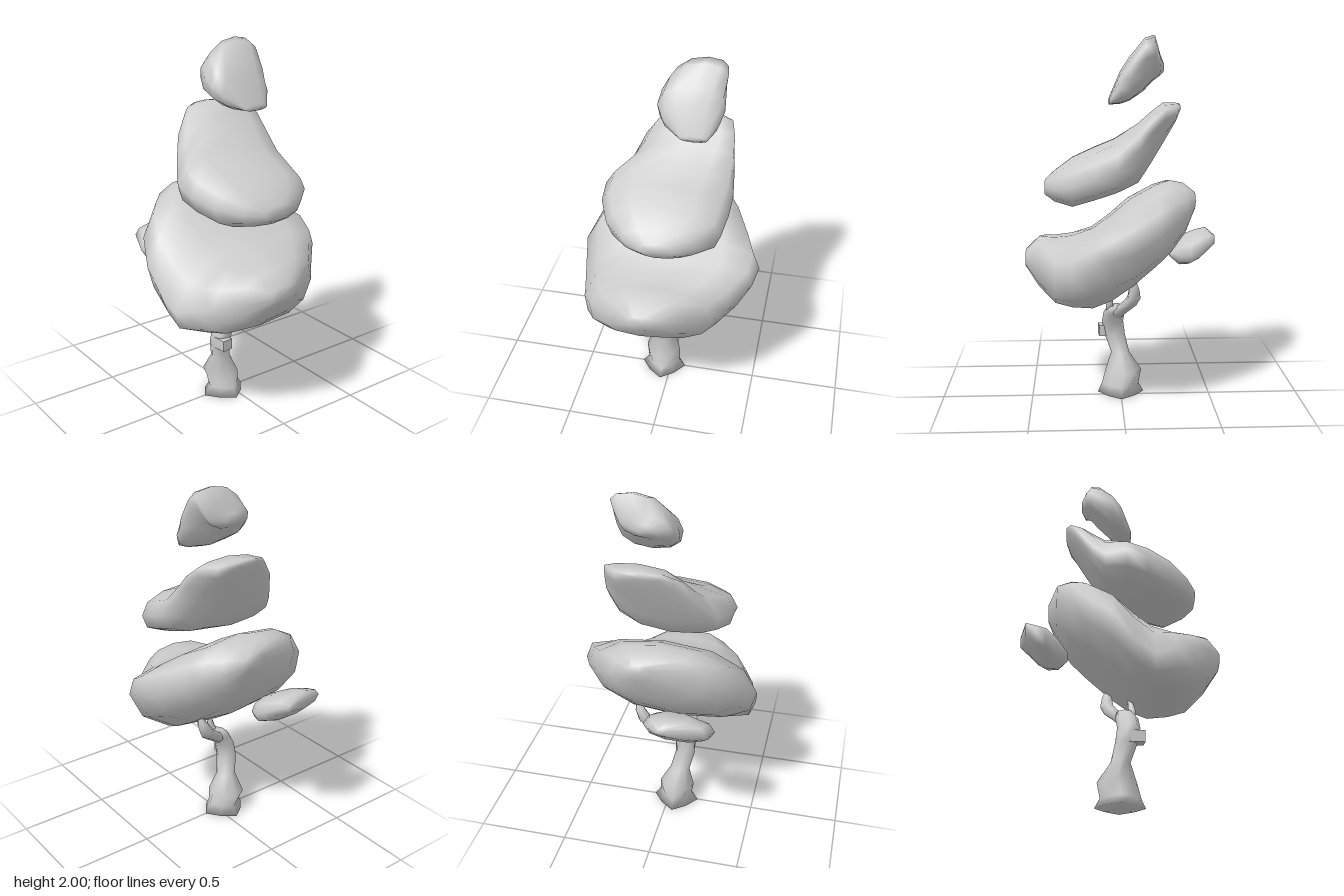
import * as THREE from 'three';

const material = new THREE.MeshStandardMaterial({ color: 0xcccccc, side: THREE.DoubleSide });

// Skin a list of closed rings (arrays of Vector3) and close both ends.
function loft(name, rings) {
  const n = rings[0].length, last = (rings.length - 1) * n;
  const points = rings.flat(), index = [];
  for (let i = 0; i < rings.length - 1; i++) {
    for (let j = 0; j < n; j++) {
      const a = i * n + j, b = i * n + (j + 1) % n;
      index.push(a, b, b + n, a, b + n, a + n);
    }
  }
  for (const ring of [rings[0], rings[rings.length - 1]]) {
    const c = new THREE.Vector3();
    ring.forEach(p => c.addScaledVector(p, 1 / n));
    points.push(c);
  }
  for (let j = 0; j < n; j++) {
    const k = (j + 1) % n;
    index.push(points.length - 2, k, j, points.length - 1, last + j, last + k);
  }
  const geometry = new THREE.BufferGeometry().setFromPoints(points);
  geometry.setIndex(index);
  geometry.computeVertexNormals();
  const mesh = new THREE.Mesh(geometry, material);
  mesh.name = name;
  return mesh;
}

const soften = (v, power) => Math.sign(v) * Math.abs(v) ** power;

// Leaf clump: slices from back to front as [z, xMin, xMax, yMin, yMax, lean, tilt, power].
// Lean slides the upper side to +x, tilt lifts the +x rim and drops the other,
// and a lower power makes the underside squarer.
function clump(name, slices, sides = 12) {
  return loft(name, slices.map(([z, x0, x1, y0, y1, lean = 0, tilt = 0, power = 0.88]) =>
    Array.from({ length: sides }, (_, j) => {
      const t = (j / sides) * Math.PI * 2;
      const p = Math.sin(t) < -0.01 ? power : 0.88;
      const u = soften(Math.cos(t), p), v = soften(Math.sin(t), p);
      return new THREE.Vector3(
        (x0 + x1) / 2 + u * (x1 - x0) / 2 + lean * v,
        (y0 + y1) / 2 + v * (y1 - y0) / 2 + tilt * u * (1 - v * v), z);
    })));
}

// Wood: level slices from bottom to top as [y, x, z, halfWidth, halfDepth].
function wood(name, slices, sides = 8) {
  return loft(name, slices.map(([y, x, z, hx, hz]) =>
    Array.from({ length: sides }, (_, j) => {
      const t = (j / sides) * Math.PI * 2;
      const p = y < 0.06 ? 1.6 : 1; // diamond-shaped foot
      return new THREE.Vector3(x + hx * soften(Math.cos(t), p), y, z - hz * soften(Math.sin(t), p));
    })));
}

export function createModel() {
  const tree = new THREE.Group();
  tree.name = 'tree';

  // Trunk and its forked branches
  tree.add(wood('trunk', [
    [0, -0.045, 0, 0.13, 0.13],
    [0.05, -0.043, 0.003, 0.095, 0.105],
    [0.13, -0.052, -0.016, 0.1, 0.102],
    [0.23, -0.065, 0.002, 0.056, 0.051],
    [0.33, -0.09, 0.032, 0.056, 0.058],
    [0.41, -0.083, 0.044, 0.056, 0.06],
    [0.48, -0.035, 0.035, 0.064, 0.06],
    [0.52, 0.0, 0.025, 0.055, 0.045],
  ]));
  tree.add(wood('mainBranch', [
    [0.44, -0.04, 0.03, 0.03, 0.03],
    [0.5, 0.02, 0.0, 0.055, 0.045],
    [0.55, 0.08, -0.04, 0.055, 0.045],
    [0.6, 0.125, -0.065, 0.042, 0.04],
    [0.65, 0.15, -0.065, 0.032, 0.032],
    [0.7, 0.165, -0.06, 0.013, 0.018],
  ], 6));
  tree.add(wood('shortBranch', [
    [0.46, -0.04, 0.05, 0.035, 0.035],
    [0.53, 0.0, 0.065, 0.03, 0.022],
    [0.59, 0.01, 0.055, 0.012, 0.014],
  ], 6));

  // Cut branch stub
  const stub = new THREE.Mesh(new THREE.BoxGeometry(0.062, 0.062, 0.09), material);
  stub.name = 'branchStub';
  stub.position.set(-0.105, 0.352, 0.078);
  stub.rotation.y = 0.1;
  tree.add(stub);

  // Leaf clumps
  tree.add(clump('lowerFoliage', [
    [-0.395, 0.0, 0.13, 1.08, 1.17],
    [-0.34, -0.26, 0.24, 0.94, 1.21],
    [-0.265, -0.35, 0.305, 0.83, 1.225, 0.02],
    [-0.19, -0.435, 0.365, 0.755, 1.2, 0.04],
    [-0.05, -0.5, 0.45, 0.645, 1.125, 0.04, 0.02],
    [0.06, -0.485, 0.5, 0.575, 1.04, 0.04, 0.08],
    [0.16, -0.465, 0.475, 0.537, 0.97, 0.05, 0.09, 0.8],
    [0.27, -0.435, 0.37, 0.537, 0.925, 0.05, 0.02, 0.75],
    [0.36, -0.38, 0.29, 0.56, 0.91, 0.03, 0, 0.7],
    [0.45, -0.27, 0.17, 0.635, 0.915, 0.03, 0, 0.75],
    [0.525, -0.13, 0.05, 0.75, 0.84],
  ]));
  tree.add(clump('middleFoliage', [
    [-0.307, -0.03, 0.14, 1.61, 1.645],
    [-0.28, -0.09, 0.22, 1.55, 1.65],
    [-0.217, -0.18, 0.285, 1.425, 1.653, 0.05, 0.04],
    [-0.15, -0.235, 0.305, 1.305, 1.6, 0.06, 0.06],
    [-0.085, -0.28, 0.32, 1.205, 1.54, 0.05, 0.05],
    [0.03, -0.35, 0.335, 1.165, 1.457, 0.02, 0, 0.8],
    [0.14, -0.345, 0.33, 1.135, 1.41, 0, 0, 0.75],
    [0.265, -0.29, 0.31, 1.1, 1.355, 0, 0, 0.75],
    [0.36, -0.19, 0.2, 1.12, 1.285],
    [0.413, -0.085, 0.095, 1.155, 1.235],
  ]));
  tree.add(clump('topFoliage', [
    [-0.22, 0.02, 0.11, 1.81, 1.86],
    [-0.195, -0.045, 0.205, 1.785, 1.91, 0.02],
    [-0.165, -0.05, 0.242, 1.76, 2.0, 0.06, 0.02],
    [-0.117, -0.075, 0.257, 1.71, 1.985, 0.05, 0.03],
    [-0.04, -0.082, 0.265, 1.66, 1.89, 0.015],
    [0.01, -0.05, 0.248, 1.645, 1.815],
    [0.07, 0.05, 0.197, 1.643, 1.675],
  ]));
  tree.add(clump('backFoliage', [
    [-0.53, -0.13, -0.06, 0.85, 0.9],
    [-0.495, -0.305, 0.0, 0.815, 0.927],
    [-0.435, -0.32, 0.035, 0.758, 0.915],
    [-0.385, -0.335, 0.05, 0.735, 0.895],
    [-0.33, -0.24, 0.02, 0.735, 0.87],
    [-0.28, -0.15, -0.05, 0.78, 0.81],
  ], 10));

  return tree;
}
